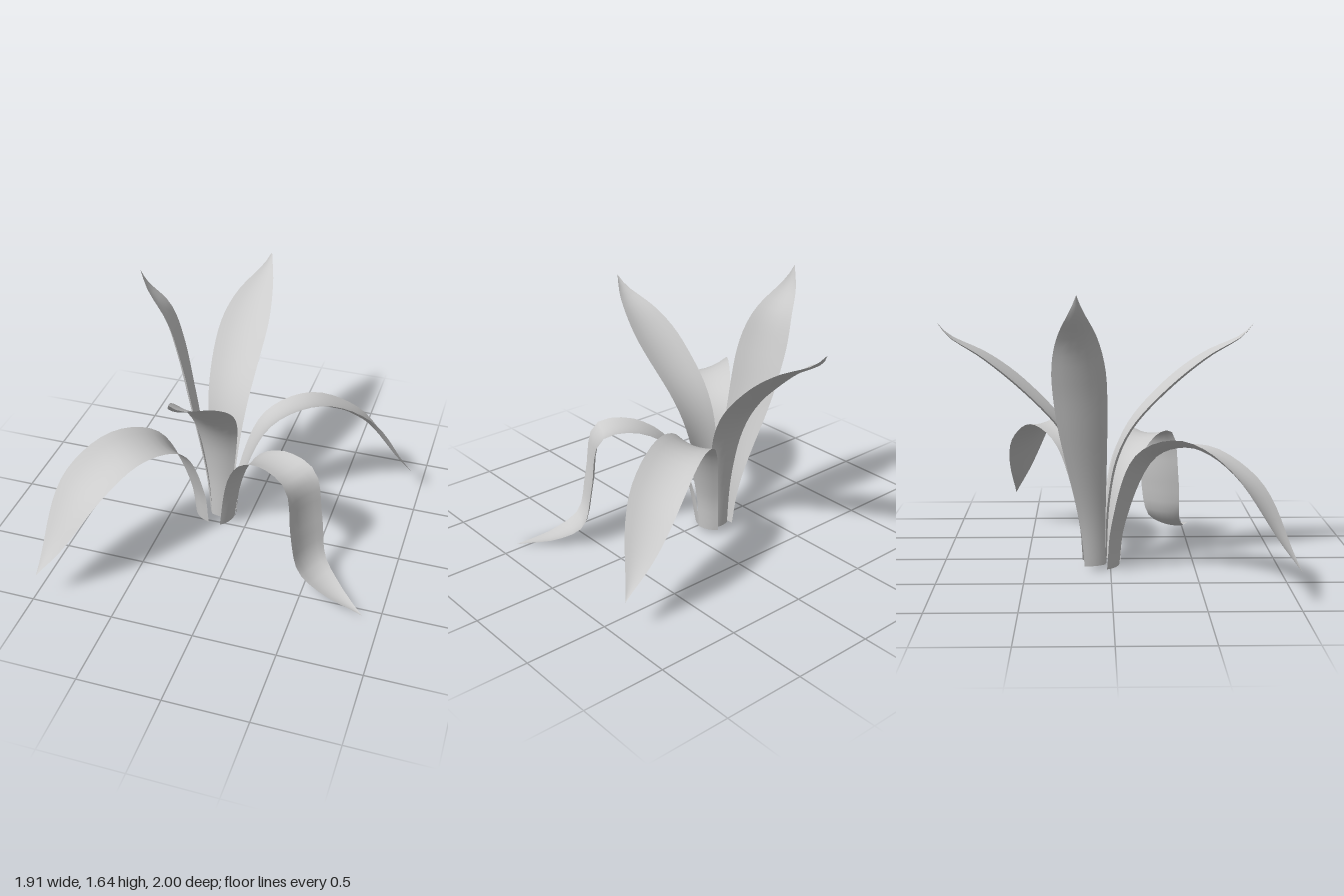
import * as THREE from 'three';

const ROWS = 30, COLS = 6, BASE_WIDTH = 0.13, BASE_HEIGHT = 0.04, WIDEST = 0.67;
const { lerp, smoothstep } = THREE.MathUtils;

// Spine profiles: [fraction of the reach, height] above the base
const RISING = [[0.02, 0.4], [0.08, 0.68], [0.19, 0.87], [0.44, 1.1], [0.69, 1.27], [0.93, 1.39], [1, 1.46]];
const UPRIGHT = [[0.08, 0.35], [0.35, 0.88], [0.49, 1.15], [0.66, 1.38], [0.92, 1.55], [1, 1.65]];
const ARCHING = [[0.03, 0.3], [0.19, 0.72], [0.44, 0.82], [0.7, 0.68], [0.92, 0.33], [1, 0.21]];
const DRAPED = [[0.04, 0.3], [0.1, 0.5], [0.2, 0.65], [0.37, 0.74], [0.53, 0.71], [0.585, 0.4], [0.64, 0.14], [0.78, 0.05], [1, 0.01]];

// Blade width: swells from the base, then closes to a drawn-out point
function widthAt(s, maxWidth) {
  if (s < WIDEST) return lerp(BASE_WIDTH, maxWidth, smoothstep(s, 0, WIDEST));
  const q = (s - WIDEST) / (1 - WIDEST);
  return maxWidth * Math.max((1 - q * q) ** 1.2, 0.005);
}

// Shallow blade from a base [x, z] to a tip [x, z]; roll lifts one edge,
// bow bends the spine sideways, turn swings the blade about the vertical
function leafGeometry(base, tip, profile, maxWidth, { roll = 0, bow = 0, turn = 0 }) {
  const start = new THREE.Vector3(base[0], 0, base[1]);
  const reach = new THREE.Vector3(tip[0], 0, tip[1]).sub(start);
  const out = reach.clone().normalize();
  const across = new THREE.Vector3(-out.z, 0, out.x);
  const spine = new THREE.CatmullRomCurve3([[0, BASE_HEIGHT], ...profile].map(([f, y]) =>
    start.clone().addScaledVector(reach, f).addScaledVector(across, bow * Math.sin(Math.PI * f)).setY(y)));
  across.applyAxisAngle(new THREE.Vector3(0, 1, 0), turn);

  const positions = [], indices = [];
  for (let i = 0; i <= ROWS; i++) {
    const s = i / ROWS;
    const centre = spine.getPointAt(s), tangent = spine.getTangentAt(s);
    const width = widthAt(s, maxWidth);
    const side = across.clone().setY(roll * Math.min(1, s * 1.6)).normalize();
    const up = side.clone().cross(tangent).normalize();
    const cup = width * 0.1;
    for (let j = 0; j <= COLS; j++) {
      const u = (j / COLS) * 2 - 1;
      const p = centre.clone()
        .addScaledVector(side, u * width / 2)
        .addScaledVector(up, (u * u - 0.5) * cup);
      positions.push(p.x, Math.max(p.y, 0), p.z);
      if (i < ROWS && j < COLS) {
        const a = i * (COLS + 1) + j, b = a + COLS + 1;
        indices.push(a, a + 1, b, a + 1, b + 1, b);
      }
    }
  }
  const geometry = new THREE.BufferGeometry();
  geometry.setAttribute('position', new THREE.Float32BufferAttribute(positions, 3));
  geometry.setIndex(indices);
  geometry.computeVertexNormals();
  return geometry;
}

export function createModel() {
  const model = new THREE.Group();
  model.name = 'leafyPlant';
  const material = new THREE.MeshStandardMaterial({ color: 0xcccccc, side: THREE.DoubleSide });

  function addLeaf(name, base, tip, profile, maxWidth, pose = {}) {
    const mesh = new THREE.Mesh(leafGeometry(base, tip, profile, maxWidth, pose), material);
    mesh.name = name;
    model.add(mesh);
  }

  // Three leaves reaching upward
  addLeaf('frontLeaf', [-0.165, -0.03], [-0.15, 0.83], RISING, 0.31, { bow: -0.03 });
  addLeaf('backLeaf', [-0.18, -0.13], [-0.13, -1], RISING, 0.31, { bow: -0.025 });
  addLeaf('uprightLeaf', [-0.25, -0.09], [-0.7, -0.19], UPRIGHT, 0.32, { bow: 0.035, turn: 0.52 });

  // Two leaves arching over and one draped to the ground
  addLeaf('frontRightArchingLeaf', [-0.28, 0.02], [-0.96, 1], ARCHING, 0.32, { roll: 0.28 });
  addLeaf('backLeftArchingLeaf', [-0.1, -0.11], [0.95, -0.63], ARCHING, 0.3, { roll: 0.32, bow: -0.03 });
  addLeaf('drapedLeaf', [-0.11, 0.005], [0.89, 0.55], DRAPED, 0.27);
  return model;
}
